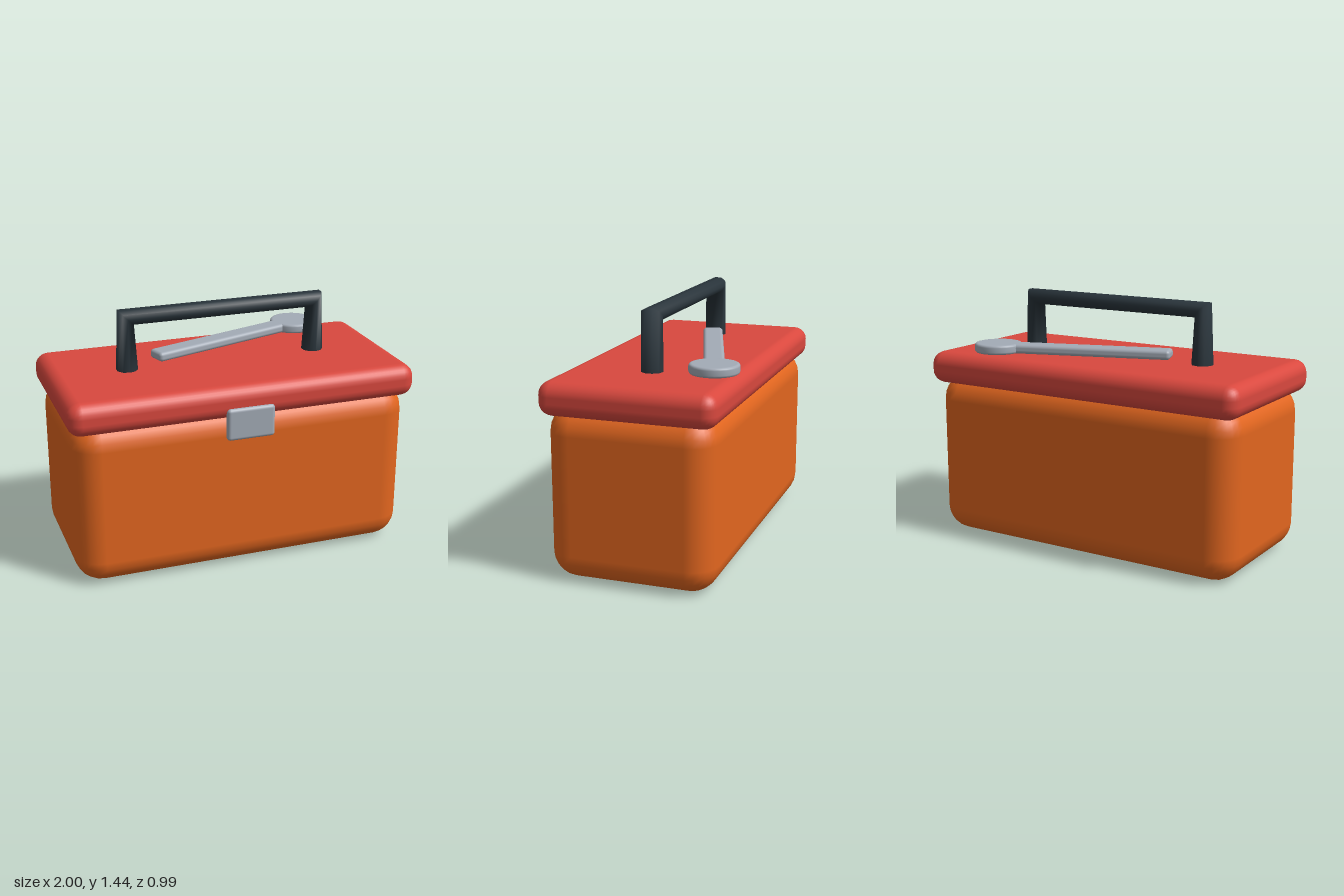
import * as THREE from 'three';
import { mergeVertices } from 'three/addons/utils/BufferGeometryUtils.js';
import { RoundedBoxGeometry } from 'three/addons/geometries/RoundedBoxGeometry.js';

const material = (name, color) => {
  const m = new THREE.MeshStandardMaterial({ color });
  m.name = name;
  return m;
};

// Handle: a round bar swept up, across and down, with mitred corners
function handleGeometry(radius, sides) {
  const d = Math.SQRT1_2;
  const rings = [ // centre x, y and in-plane direction of each ring
    [0.56, 1.08, -1, 0],
    [0.56, 1.398, -d, -d],
    [-0.56, 1.398, d, -d],
    [-0.56, 1.08, 1, 0],
  ];
  const geo = new THREE.CylinderGeometry(radius, radius, 1, sides, 3, true);
  const pos = geo.attributes.position;
  for (let i = 0; i < pos.count; i++) {
    const [cx, cy, nx, ny] = rings[Math.floor(i / (sides + 1))];
    const offset = pos.getX(i);
    pos.setXYZ(i, cx + offset * nx, cy + offset * ny, pos.getZ(i));
  }
  geo.deleteAttribute('uv');
  geo.deleteAttribute('normal');
  const merged = mergeVertices(geo, 1e-4);
  merged.computeVertexNormals();
  return merged;
}

export function createModel() {
  const model = new THREE.Group();
  model.name = 'toolbox';

  const orange = material('orange body', 0xe2661f);
  const red = material('red lid', 0xd9483e);
  const steel = material('steel', 0xa3abb6);
  const dark = material('dark handle', 0x29343b);

  const add = (name, geo, mat, x, y, z, parent = model) => {
    const mesh = new THREE.Mesh(geo, mat);
    mesh.name = name;
    mesh.position.set(x, y, z);
    parent.add(mesh);
    return mesh;
  };
  const zMid = -0.008;

  // Box, lid and latch
  add('body', new RoundedBoxGeometry(1.95, 0.96, 0.93, 3, 0.15), orange, 0, 0.48, zMid);
  add('lid', new RoundedBoxGeometry(2, 0.186, 0.975, 3, 0.075), red, 0, 1.002, zMid);
  add('latch', new RoundedBoxGeometry(0.275, 0.185, 0.047, 3, 0.02), steel, 0, 0.888, 0.473);

  // Carrying handle
  add('handle', handleGeometry(0.0625, 10), dark, 0, 0, zMid);

  // Spanner lying across the lid, turned about its head
  const spanner = new THREE.Group();
  spanner.name = 'spanner';
  spanner.position.set(0.58, 1.142, -0.36);
  spanner.rotation.y = 0.315;
  model.add(spanner);
  add('spannerShaft', new RoundedBoxGeometry(0.93, 0.054, 0.115, 3, 0.02), steel, -0.55, 0, 0, spanner);

  // Round head with softened rims
  const r = 0.136, h = 0.027, b = 0.014;
  const profile = [new THREE.Vector2(0, -h), new THREE.Vector2(r - b - 0.004, -h)];
  for (let i = 0; i <= 3; i++) {
    const a = -Math.PI / 2 + (i / 3) * Math.PI / 2;
    profile.push(new THREE.Vector2(r - b + b * Math.cos(a), -h + b + b * Math.sin(a)));
  }
  for (let i = 0; i <= 3; i++) {
    const a = (i / 3) * Math.PI / 2;
    profile.push(new THREE.Vector2(r - b + b * Math.cos(a), h - b + b * Math.sin(a)));
  }
  profile.push(new THREE.Vector2(r - b - 0.004, h), new THREE.Vector2(0, h));
  add('spannerHead', new THREE.LatheGeometry(profile, 28), steel, 0, 0, 0, spanner);

  return model;
}
